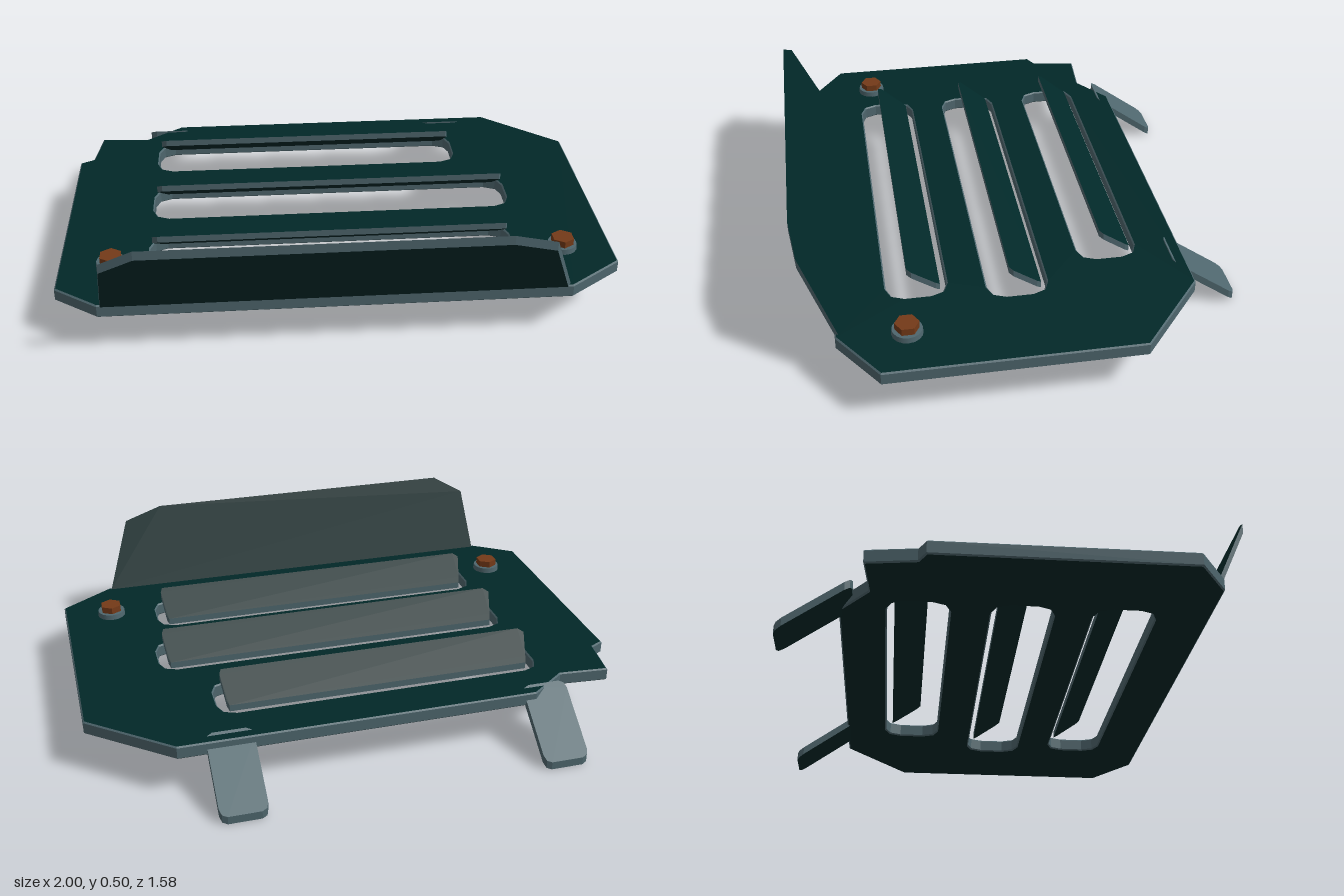
import * as THREE from 'three';

export function createModel() {
  const model = new THREE.Group();
  const mat = (name, color) => {
    const m = new THREE.MeshStandardMaterial({ color });
    m.name = name;
    return m;
  };
  const green = mat('dark green paint', 0x022828);
  const slate = mat('slate metal', 0x4e666d);
  const copper = mat('copper', 0x743a18);

  const add = (name, geometry, material, parent = model) => {
    const mesh = new THREE.Mesh(geometry, material);
    mesh.name = name;
    parent.add(mesh);
    return mesh;
  };
  // Points are [x, z] pairs seen from above
  const toPoints = (pts) => pts.map(([x, z]) => new THREE.Vector2(x, -z));
  // Rectangle with corners rounded in two facets
  const roundedRect = (x0, x1, z0, z1, c) => {
    const k = c * 0.29;
    return [
      [x0 + c, z0], [x1 - c, z0], [x1 - k, z0 + k], [x1, z0 + c],
      [x1, z1 - c], [x1 - k, z1 - k], [x1 - c, z1], [x0 + c, z1],
      [x0 + k, z1 - k], [x0, z1 - c], [x0, z0 + c], [x0 + k, z0 + k],
    ];
  };
  // Sheet of vertical thickness whose top is at height topAt(z)
  const sheet = (pts, thickness, topAt, bevel, holes = []) => {
    const shape = new THREE.Shape(toPoints(pts));
    for (const h of holes) shape.holes.push(new THREE.Path(toPoints(h).reverse()));
    const geo = new THREE.ExtrudeGeometry(shape, {
      depth: thickness - 2 * bevel, bevelEnabled: bevel > 0, bevelSegments: 1,
      bevelSize: bevel, bevelThickness: bevel, bevelOffset: -bevel,
    });
    geo.rotateX(-Math.PI / 2);
    geo.translate(0, bevel - thickness, 0);
    const p = geo.attributes.position;
    for (let i = 0; i < p.count; i++) p.setY(i, p.getY(i) + topAt(p.getZ(i)));
    geo.computeVertexNormals();
    return geo;
  };

  // Base plate with three slots and a notched rear corner
  const slots = [
    { z: -0.325, right: 0.53 },
    { z: 0.028, right: 0.685 },
    { z: 0.376, right: 0.64 },
  ];
  const outline = [
    [-1, -0.31], [-0.95, -0.335], [-0.925, -0.505], [-0.74, -0.49], [-0.6, -0.592],
    [0.71, -0.592], [1, -0.35], [1, 0.533], [0.805, 0.668], [-0.845, 0.668], [-1, 0.56],
  ];
  const holes = slots.map((s) =>
    roundedRect(-0.68, s.right, s.z - 0.106, s.z + 0.106, 0.06));
  add('basePlate', sheet(outline, 0.05, () => 0.2, 0.005, holes), [green, slate]);

  // Slanted louvre above each slot
  for (const s of slots) {
    const back = s.z - 0.081, front = s.z + 0.034, r = s.right - 0.023;
    const louvre = [
      [-0.635, back], [r - 0.015, back], [r - 0.008, back + 0.015], [r, front - 0.015],
      [r - 0.008, front], [-0.645, front], [-0.665, front - 0.015], [-0.642, back + 0.02],
    ];
    add('louvre', sheet(louvre, 0.025, (z) => 0.3 + 0.73 * (z - front), 0), [green, slate]);
  }

  // Upswept front flange
  const flange = [
    [-0.835, 0.655], [0.795, 0.655], [0.7, 0.77], [0.55, 0.79], [-0.69, 0.79], [-0.81, 0.76],
  ];
  add('frontFlange', sheet(flange, 0.035, (z) => 0.2 + 2.22 * (z - 0.655), 0), [green, slate]);

  // Rear mounting tabs sloping down, painted on the underside only
  for (const x of [-0.645, 0.522]) {
    const tab = sheet(roundedRect(x - 0.084, x + 0.084, -0.79, -0.545, 0.025),
      0.03, (z) => 0.03 + 0.72 * (z + 0.79), 0);
    const [caps, sides] = tab.groups;
    tab.clearGroups();
    tab.addGroup(0, caps.count / 2, 0);
    tab.addGroup(caps.count / 2, caps.count / 2 + sides.count, 1);
    add('rearTab', tab, [green, slate]);
  }

  // Hex bolts on washers
  for (const x of [-0.813, 0.818]) {
    const bolt = new THREE.Group();
    bolt.name = 'bolt';
    bolt.position.set(x, 0.2, 0.43);
    model.add(bolt);
    add('washer', new THREE.CylinderGeometry(0.052, 0.054, 0.02, 16), slate, bolt).position.y = 0.01;
    const head = new THREE.CylinderGeometry(0.042, 0.042, 0.027, 6).toNonIndexed();
    head.computeVertexNormals();
    add('boltHead', head, copper, bolt).position.y = 0.032;
  }
  return model;
}
